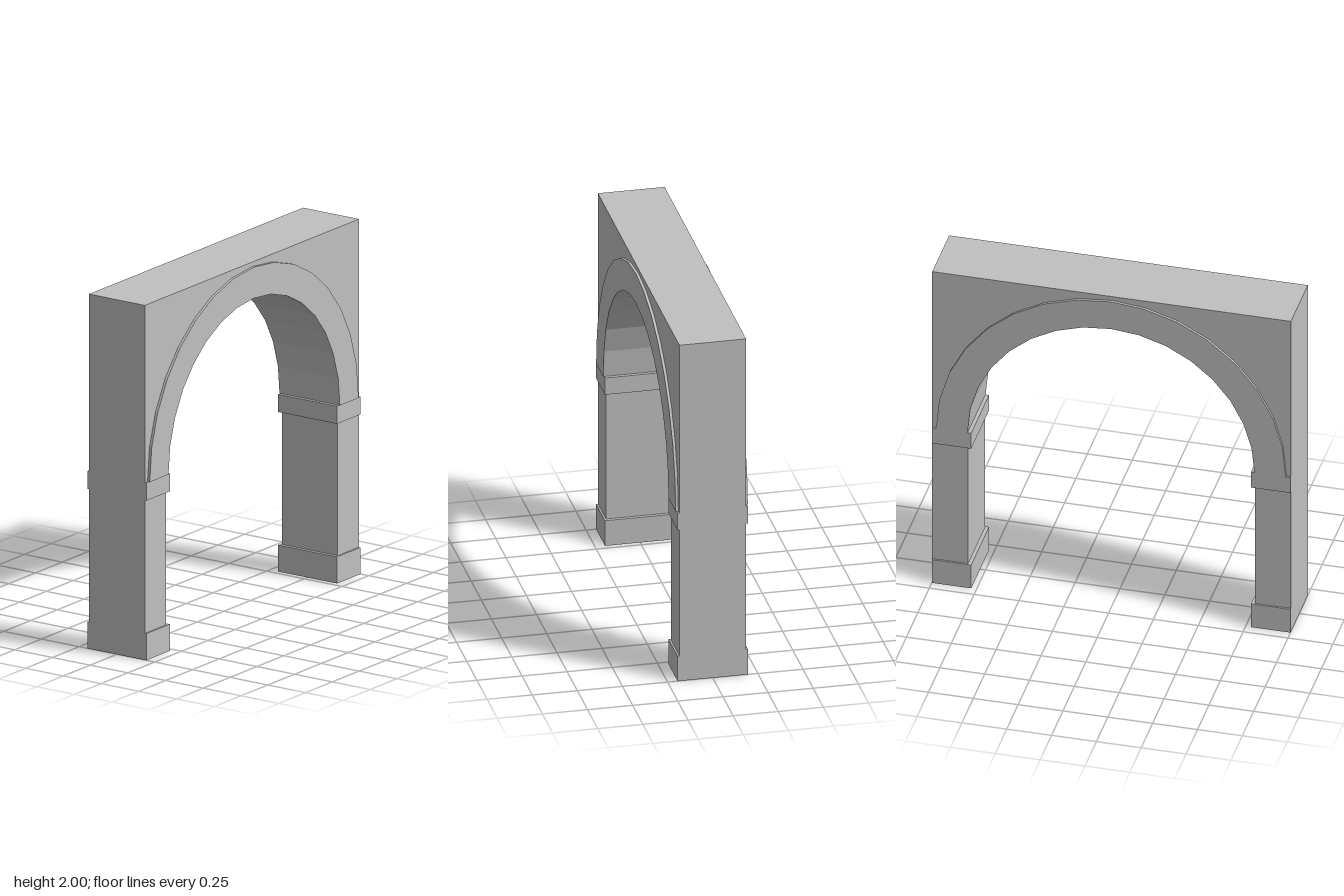
import * as THREE from 'three';

const stone = new THREE.MeshStandardMaterial({ color: 0xc0c0c0, side: THREE.DoubleSide });
stone.name = 'grey stone';

const SPRING = 1, INNER = 0.8, OUTER = 0.975, WALL = 0.185, BAND = 0.2, BLOCK = 0.195;

// Removes the triangles lying on the ground, leaving the part open underneath
function openBottom(geometry) {
  const g = geometry.index ? geometry.toNonIndexed() : geometry;
  const p = g.attributes.position;
  const keep = [];
  for (let i = 0; i < p.count; i += 3) {
    if (Math.max(p.getY(i), p.getY(i + 1), p.getY(i + 2)) > 1e-4) keep.push(i, i + 1, i + 2);
  }
  g.clearGroups();
  g.setIndex(keep);
  return g;
}

// Extrudes a front outline between two depths (8 gives 16 facets per half circle)
function slab(shape, z0, z1) {
  const g = new THREE.ExtrudeGeometry(shape, { depth: z1 - z0, bevelEnabled: false, curveSegments: 8 });
  return g.translate(0, 0, z0);
}

function add(group, name, geometry) {
  const mesh = new THREE.Mesh(geometry, stone);
  mesh.name = name;
  group.add(mesh);
}

export function createModel() {
  const group = new THREE.Group();
  group.name = 'archway';

  // Wall with piers and round opening
  const wall = new THREE.Shape();
  wall.moveTo(-1, 0);
  wall.lineTo(-INNER, 0);
  wall.lineTo(-INNER, SPRING);
  wall.absarc(0, SPRING, INNER, Math.PI, 0, true);
  wall.lineTo(INNER, 0);
  wall.lineTo(1, 0);
  wall.lineTo(1, 2);
  wall.lineTo(-1, 2);
  wall.closePath();
  add(group, 'wall', openBottom(slab(wall, -WALL, WALL)));

  // Raised arch bands on both faces
  const band = new THREE.Shape();
  band.absarc(0, SPRING, OUTER, 0, Math.PI, false);
  band.absarc(0, SPRING, INNER, Math.PI, 0, true);
  band.closePath();
  add(group, 'frontArchBand', slab(band, WALL, BAND));
  add(group, 'backArchBand', slab(band, -BAND, -WALL));

  // Imposts under the arch and hollow plinths at the ground
  for (const [side, s] of [['left', 1], ['right', -1]]) {
    const block = (y0, y1) =>
      new THREE.BoxGeometry(0.2195, y1 - y0, 2 * BLOCK).translate(s * 0.88975, (y0 + y1) / 2, 0);
    add(group, side + 'Impost', block(0.9, SPRING));
    add(group, side + 'Plinth', openBottom(block(0, 0.15)));
  }
  return group;
}
